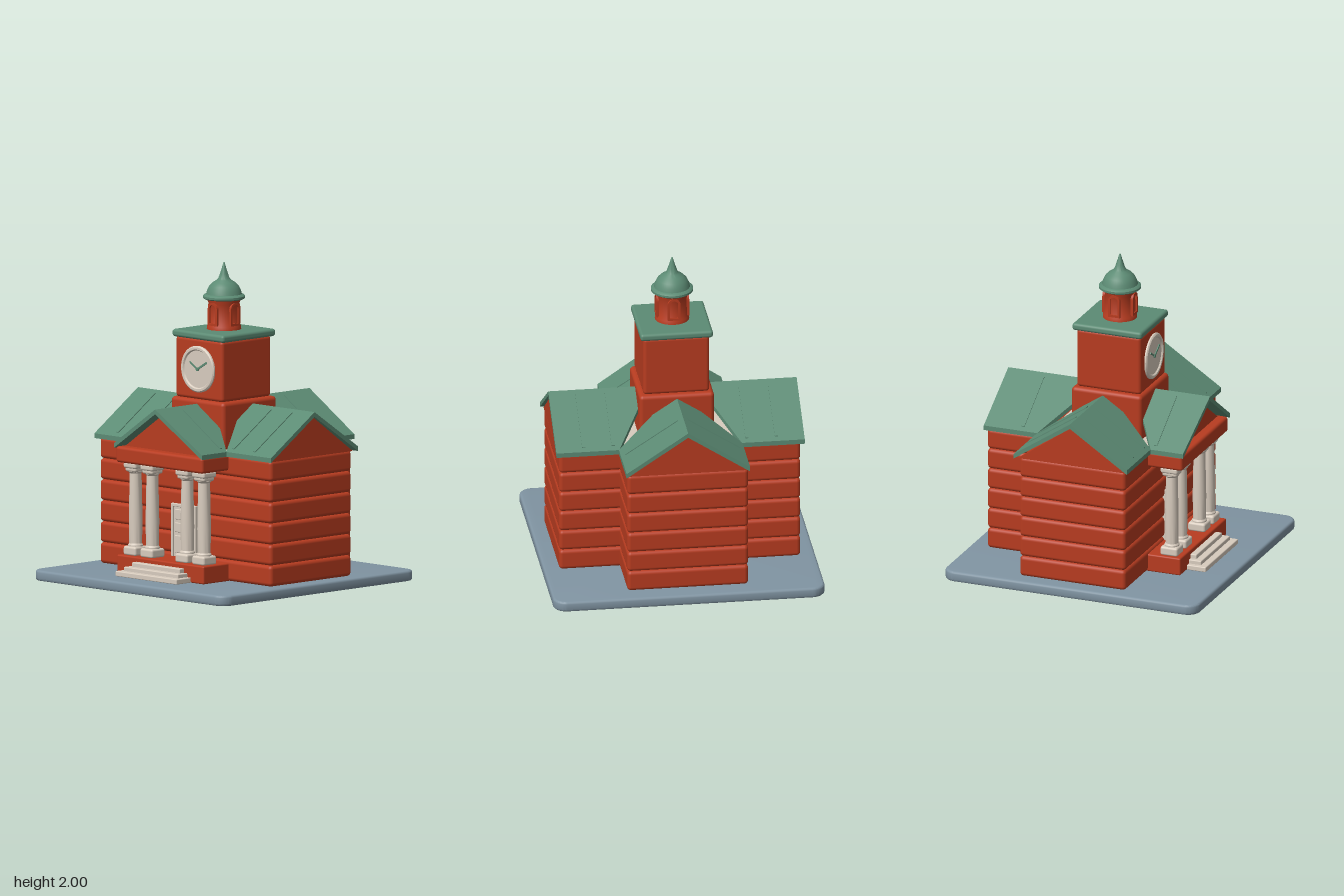
import * as THREE from 'three';
import { toCreasedNormals } from 'three/addons/utils/BufferGeometryUtils.js';
import { RoundedBoxGeometry } from 'three/addons/geometries/RoundedBoxGeometry.js';

const material = (name, color) => Object.assign(new THREE.MeshStandardMaterial({ color }), { name });
const brick = material('brick red', 0xb83c20);
const copper = material('copper green', 0x5c8b74);
const stone = material('cream stone', 0xd8ccbe);
const slate = material('slate blue', 0x8094a2);

const V = (x, y, z) => new THREE.Vector3(x, y, z);

function add(parent, name, geometry, mat, x = 0, y = 0, z = 0) {
  const mesh = new THREE.Mesh(geometry, mat);
  mesh.name = name;
  mesh.position.set(x, y, z);
  parent.add(mesh);
  return mesh;
}

// Rounded box given by its limits on each axis
function block(parent, name, mat, [x0, x1], [y0, y1], [z0, z1], r = 0.01) {
  const geometry = new RoundedBoxGeometry(x1 - x0, y1 - y0, z1 - z0, 3, r);
  return add(parent, name, geometry, mat, (x0 + x1) / 2, (y0 + y1) / 2, (z0 + z1) / 2);
}

// Slab with a four-cornered upper face and vertical thickness
function slab(parent, name, corners, thickness) {
  const n = corners[1].clone().sub(corners[0]).cross(corners[2].clone().sub(corners[0]));
  const top = n.y < 0 ? [...corners].reverse() : corners;
  const low = top.map(p => V(p.x, p.y - thickness, p.z));
  const tris = [];
  const quad = (a, b, c, d) => tris.push(a, b, c, a, c, d);
  quad(...top);
  quad(low[3], low[2], low[1], low[0]);
  for (let i = 0; i < 4; i++) {
    const j = (i + 1) % 4;
    quad(top[i], low[i], low[j], top[j]);
  }
  const geometry = new THREE.BufferGeometry().setFromPoints(tris);
  geometry.computeVertexNormals();
  return add(parent, name, geometry, copper);
}

// Triangular wall, upright in the xy plane, extruded towards +z
function gable(halfWidth, y0, y1, depth) {
  const shape = new THREE.Shape([
    new THREE.Vector2(-halfWidth, y0), new THREE.Vector2(halfWidth, y0), new THREE.Vector2(0, y1)]);
  return new THREE.ExtrudeGeometry(shape, { depth, bevelEnabled: false });
}

function arch(path, halfWidth, y0, y1) {
  path.moveTo(-halfWidth, y0);
  path.lineTo(halfWidth, y0);
  path.lineTo(halfWidth, y1 - halfWidth);
  path.absarc(0, y1 - halfWidth, halfWidth, 0, Math.PI, false);
  path.closePath();
  return path;
}

function lathe(points, segments = 40) {
  const geometry = new THREE.LatheGeometry(points.map(p => new THREE.Vector2(...p)), segments);
  return toCreasedNormals(geometry, 0.6);
}

function buildBase(model) {
  const r = 0.07, h = 0.838;
  const s = new THREE.Shape();
  s.absarc(h - r, h - r, r, 0, Math.PI / 2);
  s.absarc(r - h, h - r, r, Math.PI / 2, Math.PI);
  s.absarc(r - h, r - h, r, Math.PI, Math.PI * 1.5);
  s.absarc(h - r, r - h, r, Math.PI * 1.5, Math.PI * 2);
  const geometry = new THREE.ExtrudeGeometry(s, {
    depth: 0.036, bevelThickness: 0.015, bevelSize: 0.015, bevelSegments: 3, curveSegments: 8 });
  geometry.rotateX(-Math.PI / 2);
  add(model, 'base', toCreasedNormals(geometry, 0.7), slate, 0, 0.015, 0);
}

function buildWalls(model) {
  const walls = new THREE.Group();
  walls.name = 'walls';
  model.add(walls);
  const h = 0.132;
  for (let i = 0; i < 6; i++) {
    const y = [0.065 + i * h, 0.065 + (i + 1) * h];
    block(walls, 'sideWingCourse', brick, [-0.758, 0.758], y, [-0.37, 0.342], 0.024);
    block(walls, 'longWingCourse', brick, [-0.38, 0.38], y, [-0.74, 0.338], 0.024);
  }
  // Gable ends under the roofs
  for (const s of [-1, 1]) {
    const end = add(walls, 'sideGable', gable(0.36, 0.85, 1.105, 0.03), brick, s * 0.73, 0, -0.015);
    end.rotation.y = s * Math.PI / 2;
  }
  add(walls, 'backGable', gable(0.37, 0.85, 1.105, 0.03), brick, 0, 0, -0.735);
  add(walls, 'frontGable', gable(0.37, 0.85, 1.105, 0.03), brick, 0, 0, 0.48);
  block(walls, 'atticFloor', stone, [-0.37, 0.37], [0.855, 0.864], [-0.37, 0.33], 0.003);
}

function buildRoofs(model) {
  const roofs = new THREE.Group();
  roofs.name = 'roofs';
  model.add(roofs);
  const ridge = 1.132, eave = 0.88, mid = -0.02, t = 0.03;
  const yAt = k => ridge + (eave - ridge) * k;
  for (const s of [-1, 1]) {
    for (const ze of [0.362, -0.4]) {
      // Side wing slope, cut back along the valley
      slab(roofs, 'sideRoof', [
        V(s * 0.78, ridge, mid), V(s * 0.78, eave, ze), V(s * 0.385, eave, ze), V(s * 0.15, ridge, mid)], t);
      for (const x of [0.42, 0.605]) {
        const p = (dx, k) => V(s * x + dx, yAt(k) + 0.006, mid + (ze - mid) * k);
        slab(roofs, 'sideRoofSeam', [p(-0.01, 0.08), p(0.01, 0.08), p(0.01, 0.93), p(-0.01, 0.93)], 0.012);
      }
      // Long wing slope, running from the valley to the porch or the back
      const front = ze > 0;
      const zr = front ? 0.605 : -0.75, zeEnd = front ? 0.58 : -0.758;
      slab(roofs, 'longRoof', [
        V(0, ridge, zr), V(s * 0.388, eave, zeEnd), V(s * 0.388, eave, ze), V(0, ridge, front ? 0.1 : -0.13)], t);
      for (const z of front ? [0.385] : [-0.505]) {
        const p = (dz, k) => V(s * 0.388 * k, yAt(k) + 0.006, z + dz);
        slab(roofs, 'longRoofSeam', [p(-0.01, 0.08), p(0.01, 0.08), p(0.01, 0.93), p(-0.01, 0.93)], 0.012);
      }
    }
  }
}

function buildPorch(model) {
  const porch = new THREE.Group();
  porch.name = 'porch';
  model.add(porch);
  block(porch, 'porchFloor', brick, [-0.383, 0.383], [0.065, 0.178], [0.32, 0.56]);
  block(porch, 'entablature', brick, [-0.383, 0.383], [0.76, 0.86], [0.32, 0.572], 0.018);
  [[0.27, 0.098, 0.685], [0.24, 0.123, 0.642], [0.212, 0.15, 0.6]].forEach(([x, y, z]) =>
    block(porch, 'step', stone, [-x, x], [0.065, y], [0.55, z], 0.006));
  // Columns with square bases and capitals
  const shaft = lathe([[0.047, 0.2], [0.047, 0.24], [0.04, 0.25], [0.043, 0.4], [0.037, 0.69],
    [0.046, 0.7], [0.046, 0.73]], 24);
  for (const x of [-0.305, -0.157, 0.152, 0.3]) {
    const column = new THREE.Group();
    column.name = 'column';
    column.position.set(x, 0, 0.472);
    porch.add(column);
    add(column, 'shaft', shaft, stone);
    block(column, 'columnBase', stone, [-0.055, 0.055], [0.175, 0.232], [-0.058, 0.058], 0.014);
    block(column, 'capitalNeck', stone, [-0.047, 0.047], [0.7, 0.735], [-0.05, 0.05], 0.014);
    block(column, 'capital', stone, [-0.055, 0.055], [0.722, 0.762], [-0.058, 0.058], 0.014);
  }
  // Double door with raised frame and panels
  block(porch, 'door', stone, [-0.108, 0.108], [0.175, 0.5], [0.32, 0.35], 0.004);
  for (const s of [-1, 1]) {
    block(porch, 'doorJamb', stone, [s * 0.1 - 0.01, s * 0.1 + 0.01], [0.175, 0.505], [0.33, 0.36], 0.004);
    for (const [y0, y1] of [[0.2, 0.31], [0.33, 0.39], [0.41, 0.475]]) {
      block(porch, 'doorPanel', stone, [s * 0.048 - 0.03, s * 0.048 + 0.03], [y0, y1], [0.34, 0.356], 0.005);
    }
  }
  block(porch, 'doorLintel', stone, [-0.11, 0.11], [0.49, 0.51], [0.33, 0.36], 0.004);
}

function buildTower(model) {
  const tower = new THREE.Group();
  tower.name = 'tower';
  model.add(tower);
  block(tower, 'towerFoot', brick, [-0.235, 0.235], [0.855, 1.158], [-0.235, 0.238], 0.025);
  block(tower, 'clockStage', brick, [-0.208, 0.208], [1.156, 1.54], [-0.21, 0.222], 0.022);
  block(tower, 'towerCap', copper, [-0.228, 0.228], [1.533, 1.58], [-0.232, 0.235], 0.018);

  // Clock
  const clock = new THREE.Group();
  clock.name = 'clock';
  clock.position.set(0, 1.348, 0.22);
  tower.add(clock);
  const face = lathe([[0.146, 0], [0.146, 0.012], [0.138, 0.019], [0.124, 0.019], [0.117, 0.01], [0, 0.01]], 48);
  face.rotateX(Math.PI / 2);
  add(clock, 'clockFace', face, stone);
  for (const [x, y, w] of [[-0.068, 0.042, 0.009], [0.08, 0.048, 0.012]]) {
    const hand = add(clock, 'clockHand', new THREE.BoxGeometry(Math.hypot(x, y), w, 0.006), copper, x / 2, y / 2, 0.013);
    hand.rotation.z = Math.atan2(y, x);
  }
  const hub = add(clock, 'clockHub', new THREE.CylinderGeometry(0.011, 0.011, 0.008, 16), copper, 0, 0, 0.014);
  hub.rotation.x = Math.PI / 2;

  // Cupola drum with an arched surround on each side
  add(tower, 'cupolaDrum', lathe([[0.108, 1.575], [0.106, 1.6], [0.097, 1.615], [0.095, 1.74],
    [0.107, 1.765], [0.107, 1.785]]), brick);
  const surround = arch(new THREE.Shape(), 0.04, 1.607, 1.752);
  surround.holes.push(arch(new THREE.Path(), 0.026, 1.622, 1.738));
  const frame = new THREE.ExtrudeGeometry(surround, { depth: 0.022, bevelEnabled: false, curveSegments: 12 });
  frame.translate(0, 0, 0.081);
  for (let i = 0; i < 4; i++) add(tower, 'cupolaArch', frame, brick).rotation.y = i * Math.PI / 2;

  // Dome and spire
  add(tower, 'dome', lathe([[0, 1.768], [0.122, 1.768], [0.132, 1.775], [0.132, 1.788], [0.122, 1.797],
    [0.112, 1.8], [0.106, 1.822], [0.092, 1.85], [0.07, 1.872], [0.045, 1.888], [0.036, 1.897],
    [0.026, 1.925], [0.013, 1.965], [0.005, 1.994], [0, 2]]), copper);
}

export function createModel() {
  const model = new THREE.Group();
  model.name = 'clockTowerCourthouse';
  buildBase(model);
  buildWalls(model);
  buildRoofs(model);
  buildPorch(model);
  buildTower(model);
  return model;
}
